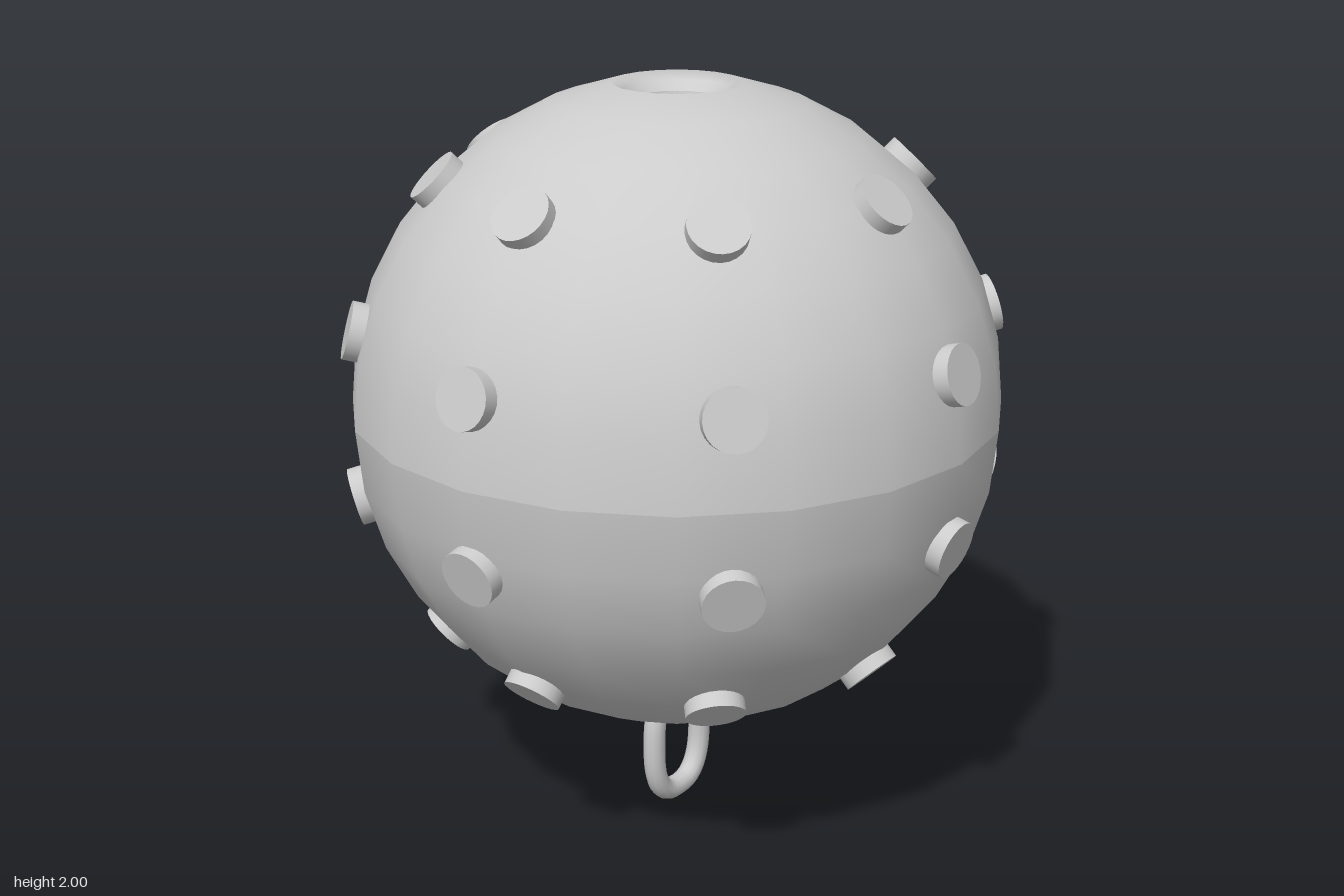
import * as THREE from 'three';

const CENTER_Y = 1.167, RADIUS = 0.85, SIDES = 20;
const material = new THREE.MeshStandardMaterial({ color: 0xcccccc });

function add(parent, geometry, name) {
  const mesh = new THREE.Mesh(geometry, material);
  mesh.name = name;
  parent.add(mesh);
  return mesh;
}

// Half shell with a dished pole; the bowl is separate so its edge stays sharp
function hemisphere(name) {
  const half = new THREE.Group();
  half.name = name;
  const profile = [];
  for (let i = 0; i <= 7; i++) {
    const a = (i * Math.PI) / 16;
    profile.push(new THREE.Vector2(RADIUS * Math.cos(a), RADIUS * Math.sin(a)));
  }
  profile.push(new THREE.Vector2(0.135, 0.815), new THREE.Vector2(0.107, 0.79));
  add(half, new THREE.LatheGeometry(profile, SIDES), 'shell');

  const bowl = [];
  for (let i = 0; i <= 5; i++) {
    const a = (i * Math.PI) / 10;
    bowl.push(new THREE.Vector2(0.107 * Math.cos(a), 0.79 - 0.08 * Math.sin(a)));
  }
  add(half, new THREE.LatheGeometry(bowl, SIDES), 'poleBowl');
  return half;
}

// Closed rounded link in the xy plane
function linkGeometry(halfWidth, halfHeight, power) {
  const points = [];
  for (let i = 0; i < 24; i++) {
    const a = (i * Math.PI) / 12;
    const c = Math.cos(a), s = Math.sin(a);
    points.push(new THREE.Vector3(
      halfWidth * Math.sign(c) * Math.abs(c) ** (2 / power),
      halfHeight * Math.sign(s) * Math.abs(s) ** (2 / power), 0));
  }
  const curve = new THREE.CatmullRomCurve3(points, true);
  return new THREE.TubeGeometry(curve, 48, 0.03, 12, true);
}

export function createModel() {
  const model = new THREE.Group();
  model.name = 'studdedBall';

  // Ball
  const ball = new THREE.Group();
  ball.name = 'ball';
  ball.position.y = CENTER_Y;
  model.add(ball);
  const lower = hemisphere('lowerHalf');
  lower.rotation.x = Math.PI;
  ball.add(hemisphere('upperHalf'), lower);

  // Four rings of eight round studs
  const studs = new THREE.Group();
  studs.name = 'studs';
  ball.add(studs);
  const studGeometry = new THREE.CylinderGeometry(0.076, 0.076, 0.075, 24);
  const up = new THREE.Vector3(0, 1, 0);
  for (const elevation of [45, 15, -15, -45]) {
    for (let i = 0; i < 8; i++) {
      const direction = new THREE.Vector3().setFromSphericalCoords(
        1, THREE.MathUtils.degToRad(90 - elevation), (i * Math.PI) / 4);
      const stud = add(studs, studGeometry, 'stud');
      stud.position.copy(direction).multiplyScalar(0.838);
      stud.quaternion.setFromUnitVectors(up, direction);
    }
  }

  // Chain: a loop set into the ball and a link hanging from it
  const loop = add(model, linkGeometry(0.14, 0.14, 2), 'anchorLoop');
  loop.position.y = 0.41;
  loop.rotation.y = Math.PI / 2;
  const link = add(model, linkGeometry(0.105, 0.16, 2.6), 'chainLink');
  link.position.y = 0.19;

  return model;
}
